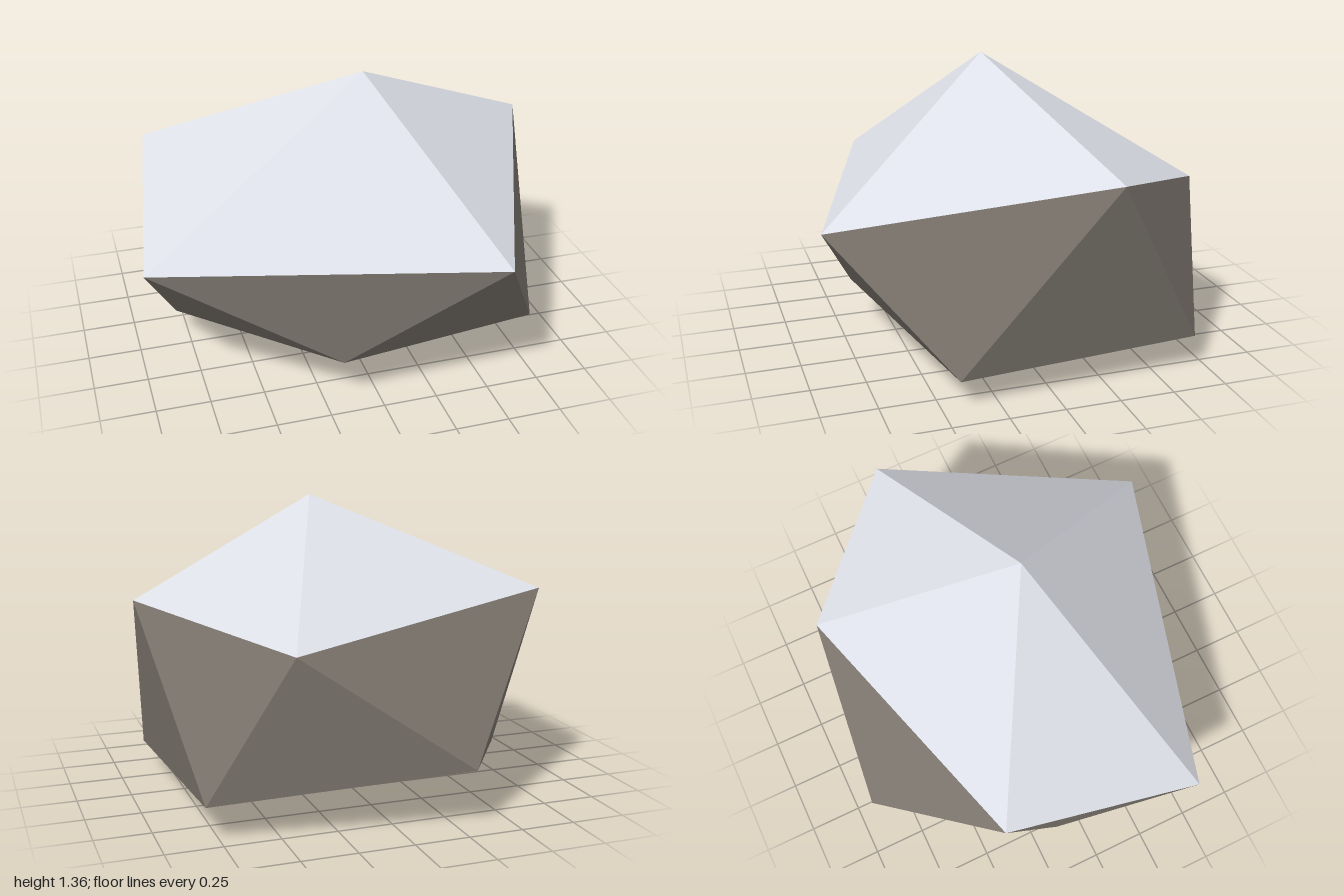
import * as THREE from 'three';

// Faceted boulder with a snowy cap: two offset rings of five points plus a peak and a base point
const peak = [0.09, 1.36, 0.09];
const base = [-0.11, 0, -0.1];
const upperRing = [
  [-1, 0.69, 0.48], [0.51, 0.715, 0.92], [1, 0.96, -0.24], [0.45, 0.79, -0.81], [-0.86, 0.94, -0.44],
];
const lowerRing = [
  [-0.17, 0.22, 0.68], [0.86, 0.125, 0.42], [0.81, 0.155, -0.69], [-0.32, 0.26, -0.92], [-0.8, 0.11, -0.13],
];

// Unshared corners give each facet its own flat normal
function facetMesh(name, corners, material) {
  const geometry = new THREE.BufferGeometry();
  geometry.setAttribute('position', new THREE.Float32BufferAttribute(corners.flat(), 3));
  geometry.computeVertexNormals();
  const mesh = new THREE.Mesh(geometry, material);
  mesh.name = name;
  return mesh;
}

export function createModel() {
  const snow = new THREE.MeshStandardMaterial({ color: 0xdfe2ea });
  snow.name = 'snow';
  const stone = new THREE.MeshStandardMaterial({ color: 0x7f7870 });
  stone.name = 'stone';

  const cap = [], sides = [], underside = [];
  for (let i = 0; i < 5; i++) {
    const j = (i + 1) % 5;
    cap.push(peak, upperRing[i], upperRing[j]);
    sides.push(upperRing[i], lowerRing[i], upperRing[j]);
    sides.push(upperRing[j], lowerRing[i], lowerRing[j]);
    underside.push(base, lowerRing[j], lowerRing[i]);
  }

  const group = new THREE.Group();
  group.name = 'snowyBoulder';
  group.add(
    facetMesh('snowCap', cap, snow),
    facetMesh('rockSides', sides, stone),
    facetMesh('rockUnderside', underside, stone),
  );
  return group;
}
